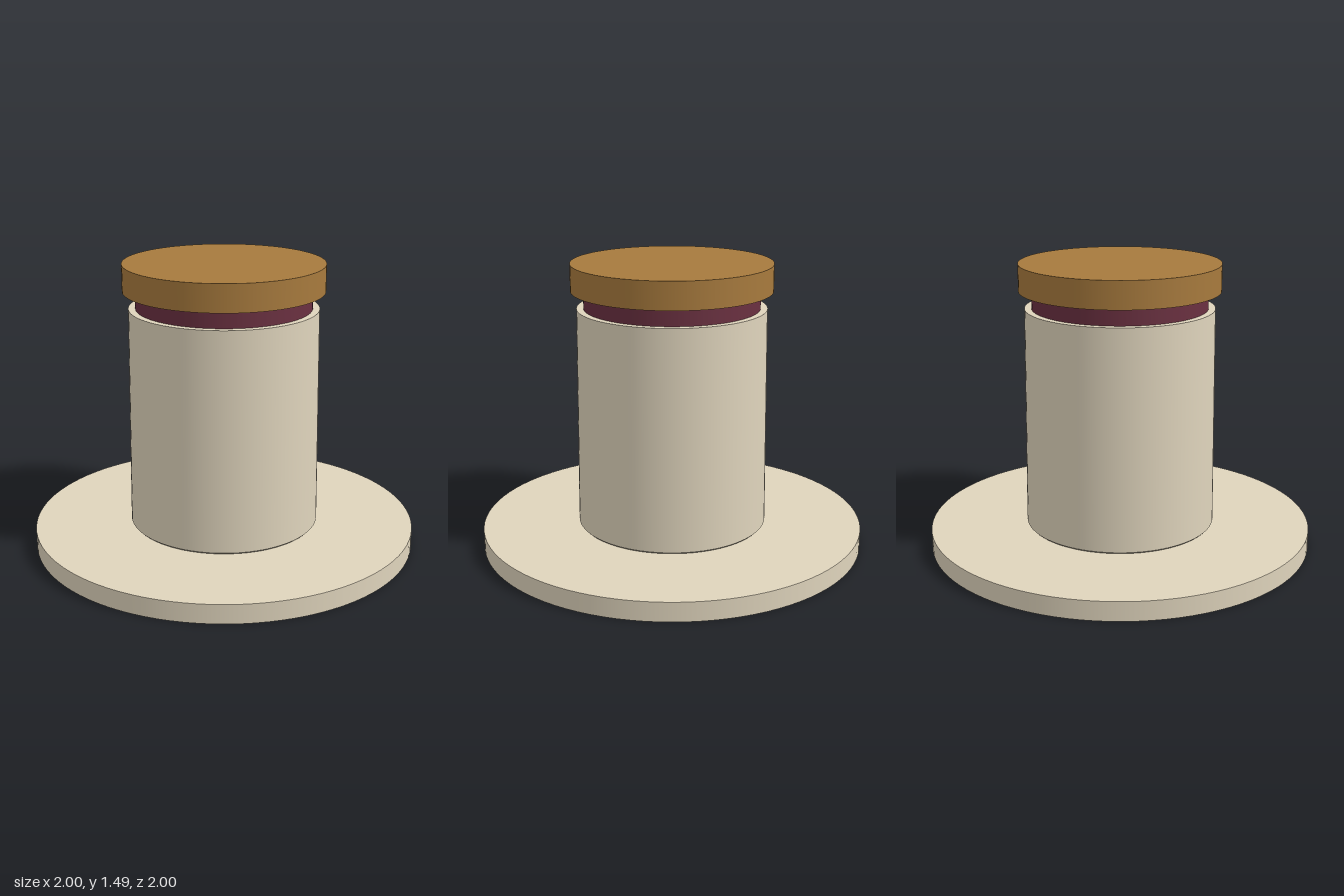
import * as THREE from 'three';

const SIDES = 96;

export function createModel() {
  const model = new THREE.Group();
  const paint = (name, color) => {
    const m = new THREE.MeshStandardMaterial({ color });
    m.name = name;
    return m;
  };
  const cream = paint('cream ceramic', 0xdfd4bc);
  const plum = paint('plum seal', 0x6a3040);
  const wood = paint('golden wood', 0xa77a3d);

  const add = (name, geometry, material, y = 0) => {
    const mesh = new THREE.Mesh(geometry, material);
    mesh.name = name;
    mesh.position.y = y;
    model.add(mesh);
  };
  // Disc or drum standing between two heights
  const drum = (name, radius, bottom, top, material) =>
    add(name, new THREE.CylinderGeometry(radius, radius, top - bottom, SIDES), material, (bottom + top) / 2);

  // Wide round base
  drum('basePlate', 1, 0, 0.1, cream);

  // Slightly tapered jar body with a small chamfered foot, floating just above the base
  drum('jarBody', 0.4, 0.108, 0.12, cream);
  const foot = new THREE.CylinderGeometry(0.495, 0.487, 0.008, SIDES);
  add('jarFoot', foot, cream, 0.112);
  const wall = new THREE.CylinderGeometry(0.486, 0.495, 1.139, SIDES);
  add('jarWall', wall, cream, 0.116 + 1.139 / 2);

  // Recessed neck and overhanging lid
  drum('neckSeal', 0.45, 1.2, 1.35, plum);
  drum('lid', 0.515, 1.345, 1.485, wood);

  return model;
}
